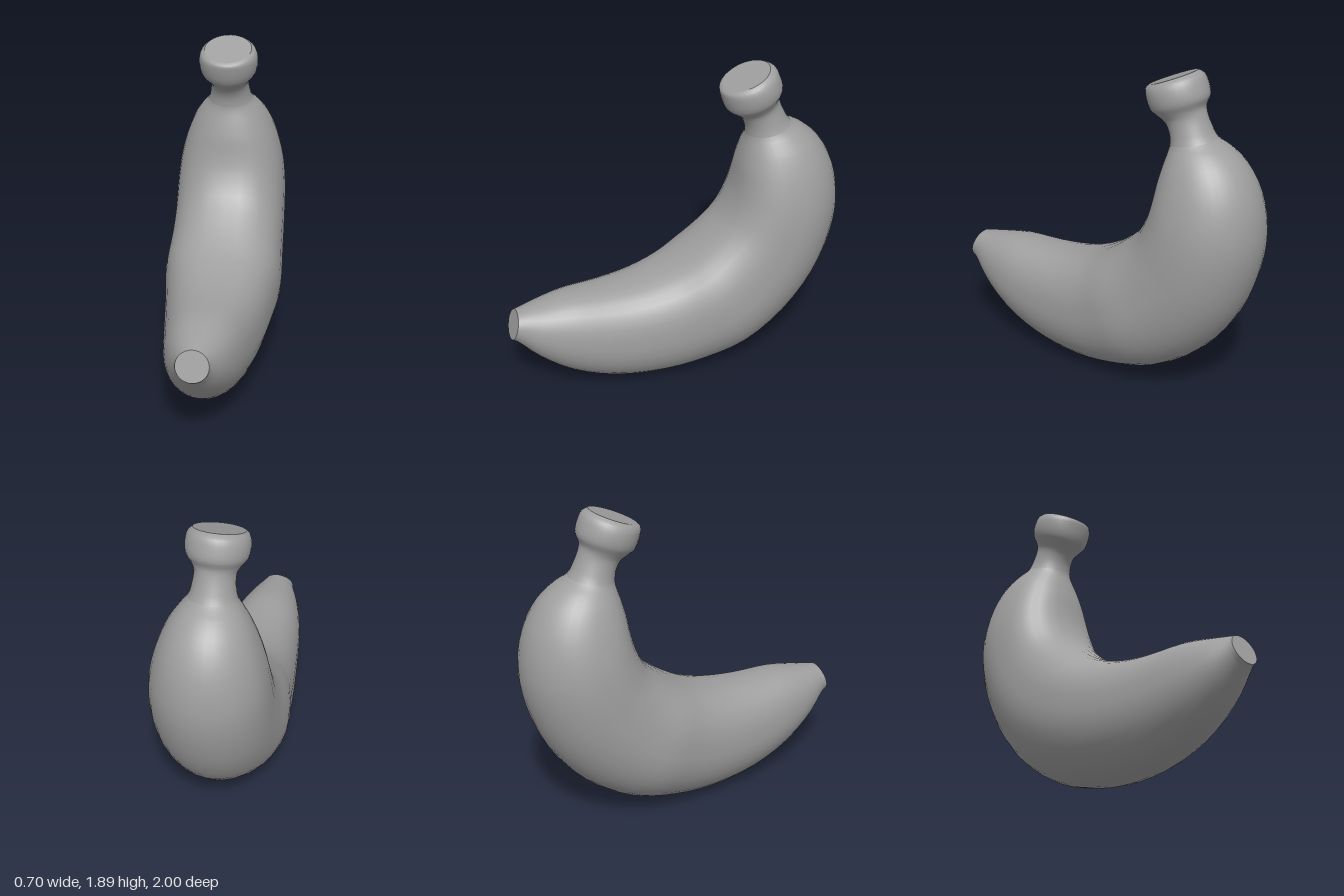
import * as THREE from 'three';

// Stations from blossom tip to stem: inner z, inner y, outer z, outer y, half width
const STATIONS = [
  [0.95, 0.585, 1.0, 0.415, 0.092],
  [0.925, 0.59, 0.97, 0.395, 0.1],
  [0.82, 0.61, 0.85, 0.27, 0.155],
  [0.65, 0.637, 0.66, 0.13, 0.212],
  [0.42, 0.64, 0.4, 0.03, 0.255],
  [0.22, 0.66, 0.1, 0.0, 0.292],
  [0.05, 0.71, -0.16, 0.03, 0.322],
  [-0.08, 0.78, -0.42, 0.11, 0.35],
  [-0.2, 0.87, -0.68, 0.29, 0.342],
  [-0.3, 0.97, -0.87, 0.54, 0.336],
  [-0.36, 1.09, -0.97, 0.8, 0.33],
  [-0.385, 1.19, -1.0, 1.02, 0.312],
  [-0.4, 1.29, -0.965, 1.24, 0.272],
  [-0.42, 1.38, -0.88, 1.4, 0.22],
  [-0.435, 1.44, -0.78, 1.49, 0.168],
  [-0.44, 1.48, -0.7, 1.535, 0.132],
  [-0.43, 1.54, -0.66, 1.6, 0.116],
  [-0.4, 1.59, -0.63, 1.67, 0.113],
  [-0.355, 1.622, -0.622, 1.71, 0.135],
  [-0.315, 1.655, -0.638, 1.765, 0.165],
  [-0.285, 1.745, -0.62, 1.83, 0.172],
  [-0.284, 1.768, -0.597, 1.873, 0.16],
  [-0.3, 1.785, -0.56, 1.89, 0.138],
];
const SIDES = 32;
const STEPS = 3;
const BODY_END = 15;

// Closed cross-section spanning the inner and outer edge of the curve
function makeRing(inner, outer, station) {
  const flat = station < BODY_END ? 0.2 * Math.sin((Math.PI * station) / BODY_END) : 0;
  const mid = inner.clone().add(outer).multiplyScalar(0.5);
  const half = inner.clone().sub(outer).multiplyScalar(0.5);
  const ring = [];
  for (let j = 0; j < SIDES; j++) {
    const a = (j / SIDES) * Math.PI * 2;
    let c = Math.cos(a), s = Math.sin(a);
    if (c > 0) { // the inner side is a little flatter
      c = Math.pow(c, 1 - flat);
      s = Math.sign(s) * Math.pow(Math.abs(s), 1 - flat);
    }
    ring.push(new THREE.Vector3(inner.x * s, mid.y + half.y * c, mid.z + half.z * c));
  }
  return ring;
}

// Smooth skin through a list of rings
function loft(rings) {
  const index = [];
  for (let i = 0; i < rings.length - 1; i++) {
    for (let j = 0; j < SIDES; j++) {
      const a = i * SIDES + j, b = i * SIDES + ((j + 1) % SIDES);
      index.push(a, b, a + SIDES, b, b + SIDES, a + SIDES);
    }
  }
  const g = new THREE.BufferGeometry().setFromPoints(rings.flat());
  g.setIndex(index);
  g.computeVertexNormals();
  return g;
}

// Flat end face with its own normals
function endCap(ring, atStart) {
  const centre = ring.reduce((sum, p) => sum.add(p), new THREE.Vector3()).divideScalar(SIDES);
  const points = [];
  ring.forEach((p, j) => {
    const q = ring[(j + 1) % SIDES];
    points.push(centre, ...(atStart ? [q, p] : [p, q]));
  });
  const g = new THREE.BufferGeometry().setFromPoints(points);
  g.computeVertexNormals();
  return g;
}

export function createModel() {
  const group = new THREE.Group();
  group.name = 'banana';
  const grey = new THREE.MeshStandardMaterial({ color: 0x9f9f9f });
  grey.name = 'grey';

  const innerCurve = new THREE.CatmullRomCurve3(STATIONS.map(([z, y, , , w]) => new THREE.Vector3(w, y, z)));
  const outerCurve = new THREE.CatmullRomCurve3(STATIONS.map(([, , z, y, w]) => new THREE.Vector3(w, y, z)));
  const count = (STATIONS.length - 1) * STEPS;
  const rings = [];
  for (let i = 0; i <= count; i++) {
    rings.push(makeRing(innerCurve.getPoint(i / count), outerCurve.getPoint(i / count), i / STEPS));
  }

  const add = (name, geometry) => {
    const mesh = new THREE.Mesh(geometry, grey);
    mesh.name = name;
    group.add(mesh);
  };
  // Fruit and stem share the ring where they meet
  const seam = BODY_END * STEPS;
  add('fruitBody', loft(rings.slice(0, seam + 1)));
  add('stem', loft(rings.slice(seam)));
  add('blossomTip', endCap(rings[0], true));
  add('stemEnd', endCap(rings[count], false));
  return group;
}
